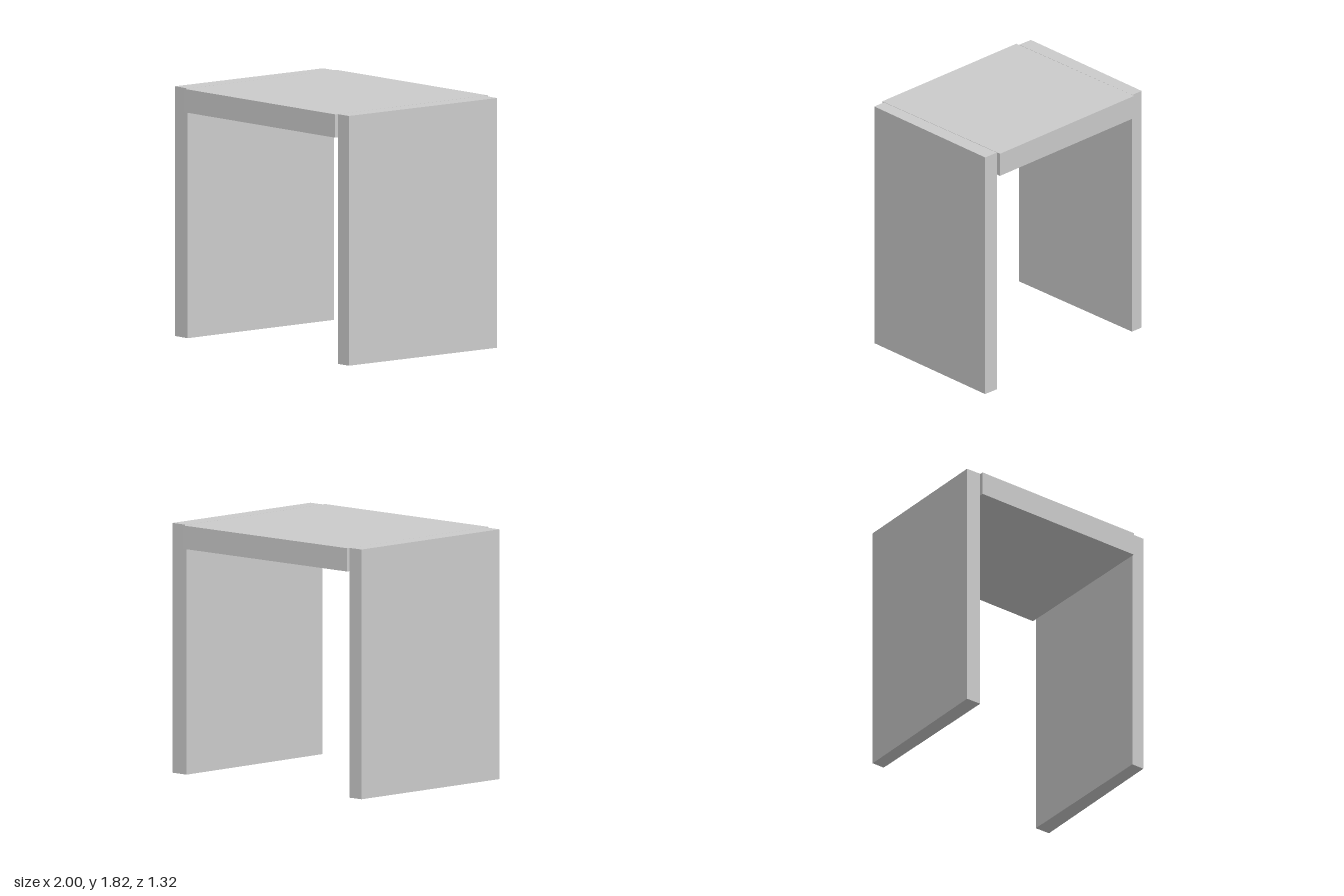
import * as THREE from 'three';

const HEIGHT = 1.82;

// Upright prism from a plan outline of [x, z] corners, between two heights
function prism(name, outline, bottom, top) {
  const shape = new THREE.Shape(outline.map(([x, z]) => new THREE.Vector2(x, -z)));
  const geometry = new THREE.ExtrudeGeometry(shape, { depth: top - bottom, bevelEnabled: false });
  geometry.rotateX(-Math.PI / 2).translate(0, bottom, 0);
  const mesh = new THREE.Mesh(
    geometry,
    new THREE.MeshStandardMaterial({ color: 0xcccccc, flatShading: true })
  );
  mesh.name = name;
  return mesh;
}

export function createModel() {
  const group = new THREE.Group();
  group.name = 'slantedTable';

  // Slanted side panels; the second is the first turned half way round
  const side = [[-1, 0.625], [-0.872, 0.628], [-0.627, -0.635], [-0.735, -0.635]];
  const turned = side.map(([x, z]) => [-x, -z]);
  group.add(prism('rightSidePanel', side, 0, HEIGHT));
  group.add(prism('leftSidePanel', turned, 0, HEIGHT));

  // Top slab between the panels, jutting out a little at front and back
  const slab = [[-0.875, 0.657], [0.62, 0.657], [0.875, -0.66], [-0.622, -0.657]];
  group.add(prism('topSlab', slab, 1.65, HEIGHT));

  return group;
}
